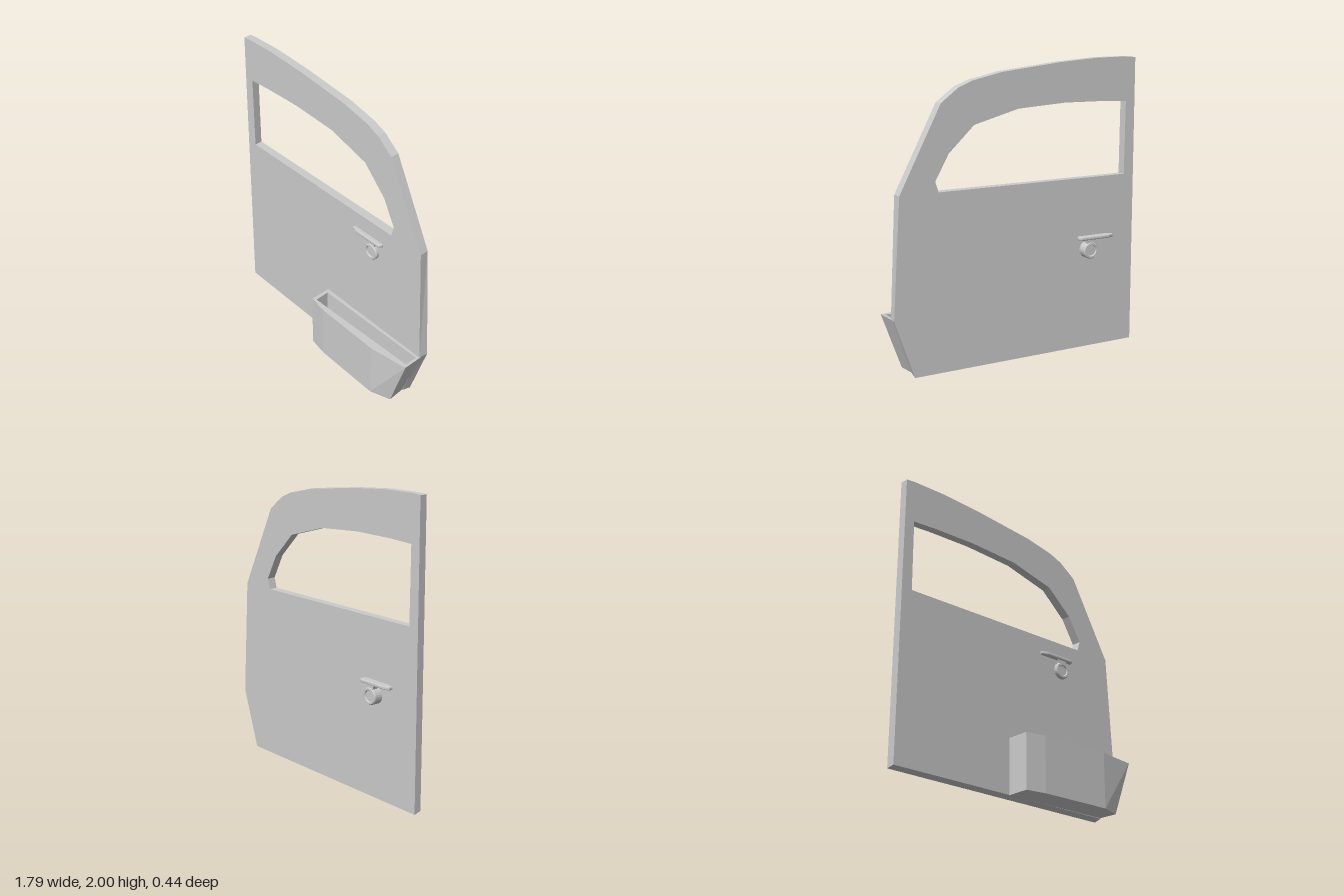
import * as THREE from 'three';

const material = new THREE.MeshStandardMaterial({ color: 0xcccccc, flatShading: true });
const smooth = new THREE.MeshStandardMaterial({ color: 0xcccccc });

// The panel stands slightly askew: z of its two faces along x
const frontZ = (x) => -0.028 + 0.107 * x;
const backZ = (x) => -0.088 + 0.102 * x;

function named(name, geometry, mat = material) {
  const mesh = new THREE.Mesh(geometry, mat);
  mesh.name = name;
  return mesh;
}

const toPoints = (list) => list.map(([x, y]) => new THREE.Vector2(x, y));

// Door panel with the window cut out, sheared onto its slanted faces
function doorPanel() {
  const shape = new THREE.Shape(toPoints([
    [-0.9, 0.015], [0.755, 0.004], [0.892, 0.4], [0.84, 1.2], [0.55, 1.76], [0.43, 1.85],
    [0.33, 1.89], [0.12, 1.935], [-0.3, 1.98], [-0.6, 2], [-0.84, 2], [-0.9, 1.994],
  ]));
  shape.holes.push(new THREE.Path(toPoints([
    [-0.825, 1.2], [-0.83, 1.7], [-0.65, 1.71], [-0.35, 1.715], [0, 1.695],
    [0.32, 1.61], [0.5, 1.44], [0.595, 1.27], [0.573, 1.2],
  ])));
  const geometry = new THREE.ExtrudeGeometry(shape, { depth: 1, bevelEnabled: false });
  const p = geometry.attributes.position;
  for (let i = 0; i < p.count; i++) {
    let x = p.getX(i), y = p.getY(i);
    const front = p.getZ(i) > 0.5;
    // the front outline is a little smaller along the bottom and lower corner
    if (front && y < 0.45 && x > 0.7) x -= 0.012;
    if (front && y < 0.05) y += 0.01;
    p.setXYZ(i, x, y, front ? frontZ(x) : backZ(x));
  }
  geometry.computeVertexNormals();
  return named('doorPanel', geometry);
}

// Open storage pocket lofted through outer and inner [x, z] loops
function storagePocket() {
  const loops = [
    { y: 0.018, ring: [[-0.033, -0.045], [-0.038, 0.12], [0.1, 0.157], [0.6, 0.217], [0.745, 0.18], [0.74, 0.04]] },
    { y: 0.4, ring: [[-0.033, -0.045], [-0.038, 0.12], [0.1, 0.157], [0.6, 0.217], [0.88, 0.202], [0.885, 0.055]] },
    { y: 0.4, ring: [[-0.01, 0], [-0.01, 0.108], [0.1, 0.117], [0.6, 0.155], [0.86, 0.175], [0.865, 0.083]] },
    { y: 0.04, ring: [[-0.01, 0], [-0.01, 0.108], [0.1, 0.117], [0.6, 0.155], [0.73, 0.165], [0.73, 0.071]] },
  ].map(({ y, ring }) => ring.map(([x, z]) => [x, y, z]));
  const out = [];
  const tri = (a, b, c) => out.push(...a, ...b, ...c);
  const n = loops[0].length;
  for (let k = 0; k < loops.length - 1; k++) {
    for (let i = 0; i < n; i++) {
      const j = (i + 1) % n, lo = loops[k], hi = loops[k + 1];
      tri(lo[i], lo[j], hi[j]);
      tri(lo[i], hi[j], hi[i]);
    }
  }
  // underside and inner floor
  const under = loops[0], floor = loops[3];
  for (let i = 1; i < n - 1; i++) {
    tri(under[0], under[i + 1], under[i]);
    tri(floor[0], floor[i], floor[i + 1]);
  }
  const geometry = new THREE.BufferGeometry();
  geometry.setAttribute('position', new THREE.Float32BufferAttribute(out, 3));
  geometry.computeVertexNormals();
  return named('storagePocket', geometry);
}

// Lever handle: round hub, flared stem and flat bar; side = 1 faces +z, -1 faces -z
function handle(name, side, x, y, z) {
  const group = new THREE.Group();
  group.name = name;

  const hub = named('handleHub', new THREE.LatheGeometry(toPoints([
    [0.058, -0.01], [0.058, 0.053], [0.052, 0.061], [0.04, 0.061], [0.036, 0.052], [0, 0.052],
  ]), 24));
  hub.rotation.x = side * Math.PI / 2;

  const stemShape = new THREE.Shape();
  stemShape.moveTo(-0.03, 0.03);
  stemShape.lineTo(0.03, 0.03);
  stemShape.quadraticCurveTo(0.026, 0.07, 0.042, 0.085);
  stemShape.lineTo(-0.05, 0.085);
  stemShape.quadraticCurveTo(-0.028, 0.07, -0.03, 0.03);
  const stem = named('handleStem', new THREE.ExtrudeGeometry(stemShape, {
    depth: 0.04, bevelEnabled: false, curveSegments: 6,
  }));
  stem.position.z = side > 0 ? 0.015 : -0.055;

  // bar outline in plan, rounded at the hub end and narrower at the grip end
  const bar = new THREE.Shape();
  bar.moveTo(-0.135, -0.021);
  bar.lineTo(0.07, -0.021);
  bar.quadraticCurveTo(0.086, -0.018, 0.086, 0);
  bar.quadraticCurveTo(0.086, 0.018, 0.07, 0.021);
  bar.lineTo(-0.135, 0.021);
  bar.lineTo(-0.172, 0.008);
  bar.lineTo(-0.172, -0.008);
  const barGeometry = new THREE.ExtrudeGeometry(bar, {
    depth: 0.01, bevelThickness: 0.007, bevelSize: 0.007, bevelSegments: 2, curveSegments: 5,
  });
  barGeometry.translate(0, 0, -0.005);
  barGeometry.rotateX(-Math.PI / 2);
  const barMesh = named('handleBar', barGeometry, smooth);
  barMesh.position.set(0, 0.087, side * 0.038);

  group.add(hub, stem, barMesh);
  group.position.set(x, y, z);
  group.rotation.y = -0.105;
  return group;
}

export function createModel() {
  const model = new THREE.Group();
  model.name = 'door';
  model.add(
    doorPanel(),
    storagePocket(),
    // the inner handle is sunk deeper into the panel than the outer one
    handle('innerHandle', 1, 0.415, 0.992, frontZ(0.415) - 0.036),
    handle('outerHandle', -1, -0.533, 0.705, backZ(-0.533)),
  );
  return model;
}
